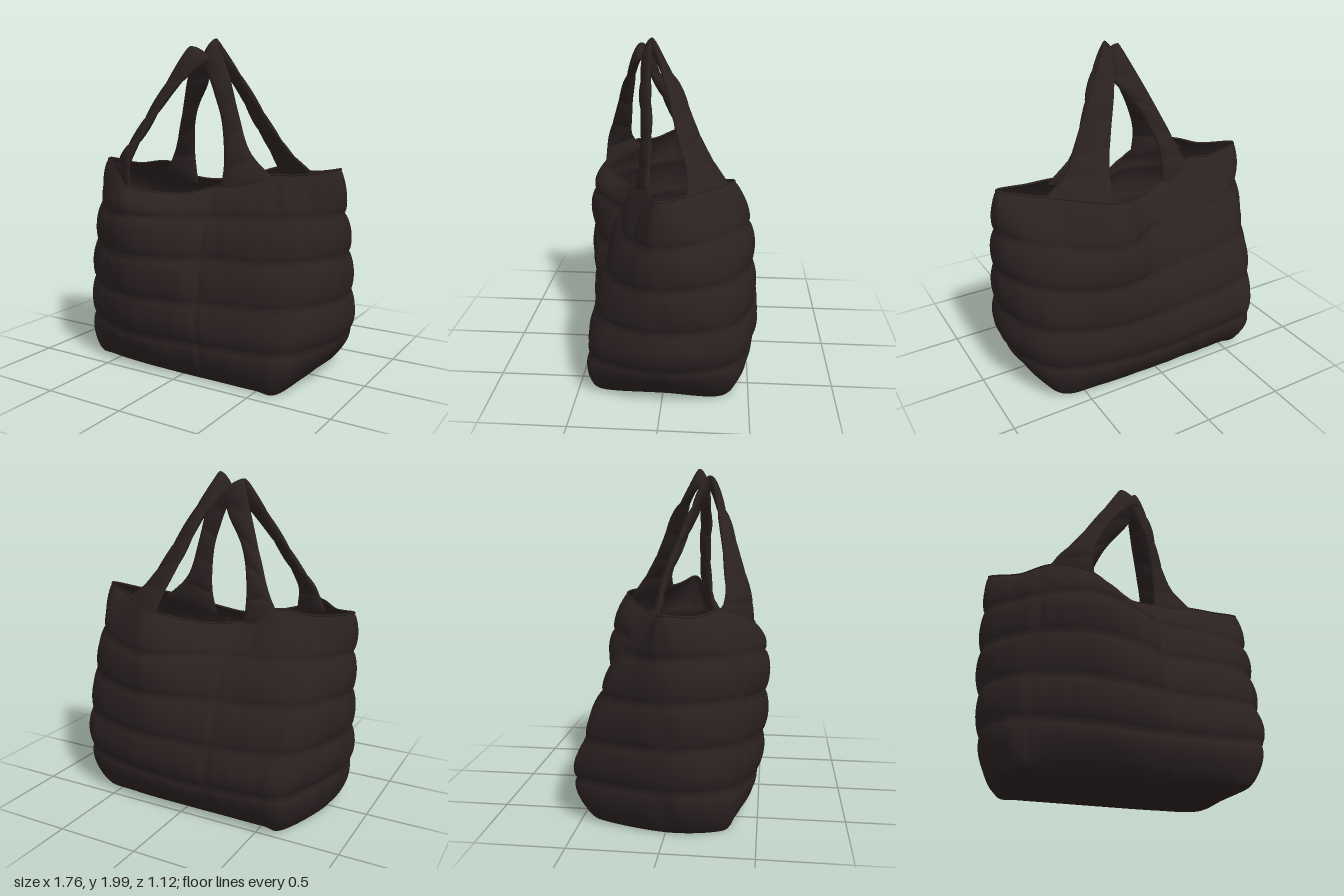
import * as THREE from 'three';

const V = (p) => new THREE.Vector3(...p);
const curve = (pts, closed = false) => new THREE.CatmullRomCurve3(pts, closed, 'catmullrom', 0.5);

// Surface from a rule: u wraps around, v runs along
function sweep(fn, nu, nv) {
  const pos = [], idx = [];
  for (let j = 0; j <= nv; j++)
    for (let i = 0; i < nu; i++) pos.push(...fn(i / nu, j / nv).toArray());
  for (let j = 0; j < nv; j++)
    for (let i = 0; i < nu; i++) {
      const k = (i + 1) % nu, a = j * nu + i, b = j * nu + k, c = a + nu, d = b + nu;
      idx.push(a, c, b, b, c, d);
    }
  const g = new THREE.BufferGeometry();
  g.setAttribute('position', new THREE.Float32BufferAttribute(pos, 3));
  g.setIndex(idx);
  g.computeVertexNormals();
  return g;
}

// Plan outlines [x, z], from the right end round the front, left end and back
const BASE = [[0.64, 0], [0.62, 0.37], [0.48, 0.39], [0.2, 0.39], [0, 0.39], [-0.3, 0.38], [-0.56, 0.35], [-0.7, 0.3],
  [-0.75, 0], [-0.63, -0.4], [-0.5, -0.42], [-0.25, -0.42], [0, -0.42], [0.38, -0.41], [0.64, -0.35]];
const LOW = [[0.85, 0], [0.71, 0.38], [0.5, 0.44], [0.2, 0.46], [0, 0.47], [-0.3, 0.49], [-0.56, 0.43], [-0.76, 0.3],
  [-0.84, 0], [-0.67, -0.49], [-0.5, -0.53], [-0.25, -0.54], [0, -0.54], [0.4, -0.51], [0.73, -0.39]];
const MID = [[0.87, 0], [0.74, 0.27], [0.5, 0.38], [0.15, 0.41], [0, 0.49], [-0.32, 0.54], [-0.55, 0.46], [-0.75, 0.3],
  [-0.87, 0], [-0.74, -0.36], [-0.55, -0.46], [-0.25, -0.49], [0, -0.51], [0.36, -0.52], [0.73, -0.37]];
const HIGH = [[0.85, 0], [0.7, 0.17], [0.48, 0.25], [0.15, 0.29], [0, 0.38], [-0.3, 0.53], [-0.54, 0.44], [-0.72, 0.25],
  [-0.87, 0], [-0.7, -0.2], [-0.5, -0.28], [-0.25, -0.29], [0, -0.36], [0.28, -0.49], [0.66, -0.29]];
const RIM = [[0.82, 1.25, 0], [0.6, 1.21, 0.08], [0.42, 1.2, 0.1], [0.14, 1.13, 0.19], [-0.08, 1.08, 0.3],
  [-0.35, 1.12, 0.46], [-0.54, 1.22, 0.3], [-0.7, 1.2, 0.16], [-0.86, 1.23, 0], [-0.65, 1.2, -0.05],
  [-0.42, 1.22, -0.08], [-0.23, 1.13, -0.11], [0, 1.12, -0.22], [0.27, 1.2, -0.39], [0.6, 1.21, -0.12]];

const mix = (a, b, t) => a.map((p, i) => [p[0] + (b[i][0] - p[0]) * t, p[1] + (b[i][1] - p[1]) * t]);
// Seams sag a little between the two ends
const level = (pts, y) => curve(pts.map(([x, z]) => V([x, y ? y + 0.06 * x * x : 0, z])), true);
const LEVELS = [level(BASE, 0), level(LOW, 0.22), level(mix(LOW, MID, 0.63), 0.46),
  level(mix(MID, HIGH, 0.34), 0.71), level(HIGH, 0.95), curve(RIM.map(V), true)];
const BANDS = LEVELS.length - 1;

// Padded wall: bulges between the level seams, pinched at the upright seams
const PINCHES = [0, 3.2, 6.4, 8, 11.2];
const columns = new Map();
function column(u) {
  if (!columns.has(u)) columns.set(u, curve(LEVELS.map((l) => l.getPoint(u))));
  return columns.get(u);
}
function wall(u, v) {
  const p = column(u).getPoint(v);
  const t = column((u + 0.005) % 1).getPoint(v).sub(column((u + 0.995) % 1).getPoint(v));
  const out = new THREE.Vector3(t.z, 0, -t.x).normalize();
  const band = Math.min(BANDS - 1, Math.floor(v * BANDS + 1e-6));
  const f = THREE.MathUtils.clamp(v * BANDS - band, 0, 1);
  const puff = Math.pow(Math.max(0, Math.sin(Math.PI * f)), 0.6);
  let pinch = 1;
  for (const s of PINCHES) {
    const d = Math.abs(u * 15 - s), w = Math.min(d, 15 - d);
    pinch -= 0.4 * Math.exp(-((w / 0.12) ** 2));
  }
  const wrinkle = 0.004 * Math.sin(u * 150 + band * 2.1) * Math.sin(u * 63 + band) * puff;
  const inset = 0.008 * (band === 0 ? f : band === BANDS - 1 ? 1 - f : 1);
  return p.addScaledVector(out, (band === 0 ? 0.03 : 0.024) * puff * pinch + wrinkle - inset);
}

// Padded strap between two edge curves, with stitched sections along it
function strap(edgeA, edgeB) {
  const A = curve(edgeA.map(V)), B = curve(edgeB.map(V));
  const mid = (v) => A.getPoint(v).add(B.getPoint(v)).multiplyScalar(0.5);
  return sweep((u, v) => {
    const w = B.getPoint(v).sub(A.getPoint(v)).multiplyScalar(0.5);
    const t = mid(Math.min(1, v + 0.01)).sub(mid(Math.max(0, v - 0.01)));
    const n = w.clone().cross(t).normalize();
    const a = u * Math.PI * 2;
    const thick = 0.016 + 0.012 * Math.pow(Math.abs(Math.sin(v * Math.PI * 10)), 0.5);
    return mid(v).addScaledVector(w, Math.cos(a)).addScaledVector(n, thick * Math.sin(a));
  }, 20, 100);
}

export function createModel() {
  const bag = new THREE.Group();
  bag.name = 'quiltedToteBag';
  const fabric = new THREE.MeshStandardMaterial({ color: 0x2b2121, side: THREE.DoubleSide });
  fabric.name = 'dark brown fabric';
  const add = (name, geometry) => {
    const m = new THREE.Mesh(geometry, fabric);
    m.name = name;
    bag.add(m);
  };

  add('paddedBody', sweep(wall, 300, 50));
  const centre = new THREE.Vector3(-0.06, 0, 0);
  add('base', sweep((u, v) => centre.clone().lerp(wall(u, 0), v), 300, 2));

  // Bound edge around the opening
  const rim = curve(Array.from({ length: 90 }, (_, i) => wall(i / 90, 1)), true);
  add('rimBinding', new THREE.TubeGeometry(rim, 180, 0.007, 6, true));

  // Each handle runs from the front panel over to the back panel
  add('rightHandle', strap(
    [[-0.6, 1.16, 0.24], [-0.52, 1.27, 0.3], [-0.41, 1.41, 0.29], [-0.24, 1.68, 0.25], [-0.08, 1.945, 0.18],
      [-0.19, 1.7, 0.06], [-0.3, 1.45, -0.03], [-0.37, 1.29, -0.07], [-0.45, 1.16, -0.09]],
    [[-0.33, 1.07, 0.46], [-0.34, 1.27, 0.44], [-0.25, 1.48, 0.37], [-0.11, 1.7, 0.29], [0.05, 1.86, 0.17],
      [0.0, 1.74, 0.1], [-0.14, 1.55, 0.02], [-0.22, 1.32, -0.08], [-0.22, 1.08, -0.12]]));
  add('leftHandle', strap(
    [[0.13, 1.07, 0.2], [0.15, 1.25, 0.17], [0.13, 1.5, 0.16], [0.08, 1.68, 0.17], [-0.01, 1.88, 0.13],
      [0.08, 1.74, -0.05], [0.16, 1.52, -0.15], [0.22, 1.35, -0.24], [0.26, 1.13, -0.39]],
    [[0.46, 1.17, 0.1], [0.29, 1.33, 0.1], [0.21, 1.55, 0.1], [0.15, 1.78, 0.11], [0.06, 1.99, 0.1],
      [0.21, 1.72, 0.01], [0.36, 1.45, -0.07], [0.45, 1.31, -0.12], [0.6, 1.19, -0.13]]));
  return bag;
}
